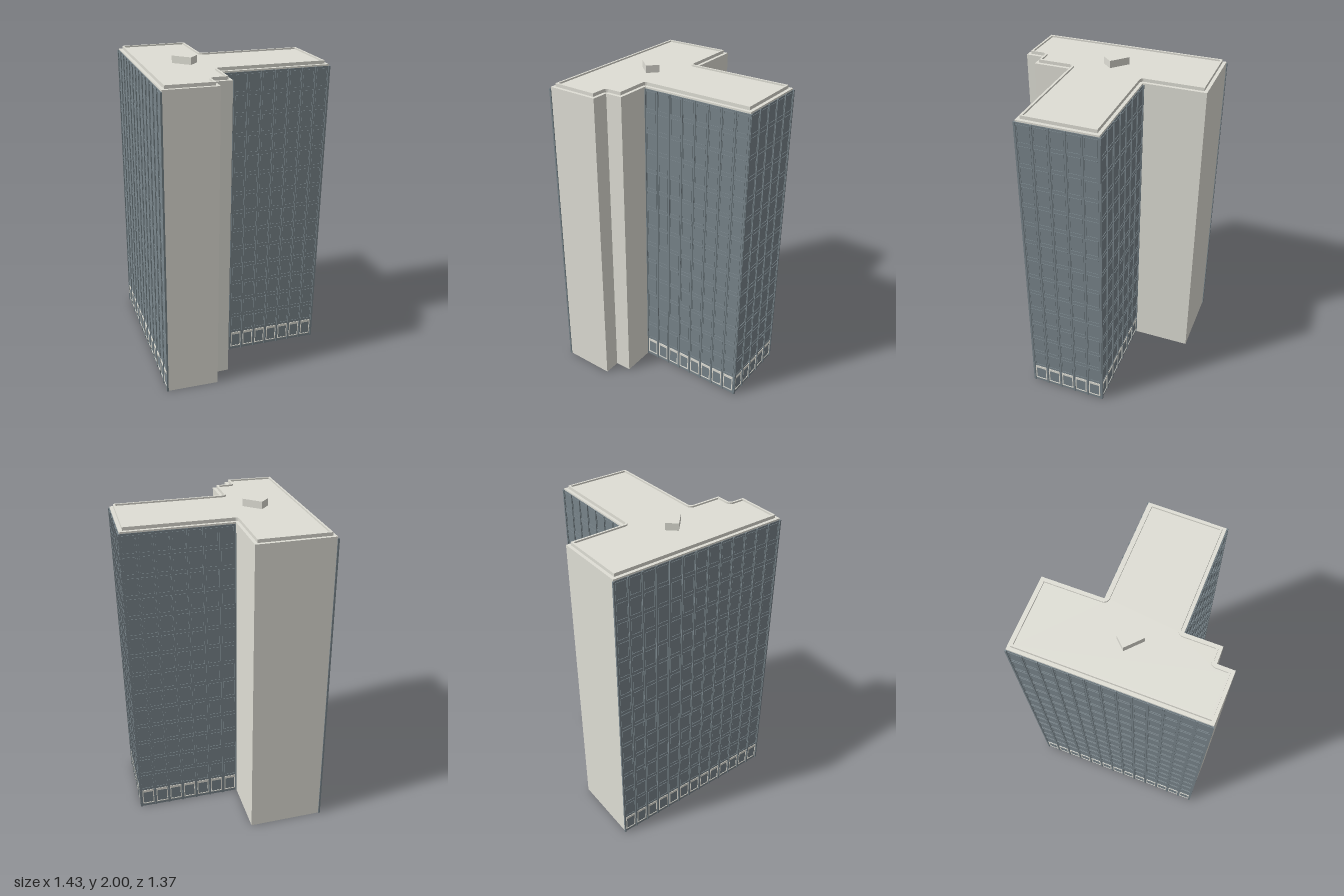
import * as THREE from 'three';
import { mergeGeometries } from 'three/addons/utils/BufferGeometryUtils.js';

const mat = (name, color) => {
  const m = new THREE.MeshStandardMaterial({ color });
  m.name = name;
  return m;
};

// Footprint corners as [x, z], walked so that each wall's outside is on its local +z
const FOOT = [[-0.703, -0.193], [0.09, 0.667], [0.335, 0.45], [0.265, 0.372], [0.342, 0.3],
  [0.192, 0.138], [0.703, -0.33], [0.383, -0.68], [-0.105, -0.235], [-0.36, -0.508]];
const WALL_TOP = 1.935, GROUND = 0.14, FLOORS = 14;

// Footprint moved inward by d; inner corners are rounded
function inset(d) {
  const n = FOOT.length, out = [];
  const inward = (a, b) => {
    const dx = b[0] - a[0], dz = b[1] - a[1], l = Math.hypot(dx, dz);
    return [dz / l, -dx / l];
  };
  FOOT.forEach((p, i) => {
    const n1 = inward(FOOT[(i + n - 1) % n], p), n2 = inward(p, FOOT[(i + 1) % n]);
    const convex = n1[0] * n2[1] - n1[1] * n2[0] < 0;
    if (convex || d === 0) {
      const k = d / (1 + n1[0] * n2[0] + n1[1] * n2[1]);
      out.push([p[0] + (n1[0] + n2[0]) * k, p[1] + (n1[1] + n2[1]) * k]);
    } else {
      for (let s = 0; s <= 4; s++) {
        const x = n1[0] + (n2[0] - n1[0]) * s / 4, z = n1[1] + (n2[1] - n1[1]) * s / 4;
        const l = Math.hypot(x, z);
        out.push([p[0] + x / l * d, p[1] + z / l * d]);
      }
    }
  });
  return out.map(([x, z]) => new THREE.Vector2(x, -z));
}

// Upright prism from y0 to y1 with an optional hole
function prism(points, y0, y1, hole) {
  const shape = new THREE.Shape(points);
  if (hole) shape.holes.push(new THREE.Path(hole));
  const g = new THREE.ExtrudeGeometry(shape, { depth: y1 - y0, bevelEnabled: false });
  return g.rotateX(-Math.PI / 2).translate(0, y0, 0);
}

// Box given by its x, y and z ranges
const block = (x0, x1, y0, y1, z0, z1) =>
  new THREE.BoxGeometry(x1 - x0, y1 - y0, z1 - z0)
    .translate((x0 + x1) / 2, (y0 + y1) / 2, (z0 + z1) / 2);

// Thin rectangular frame; top is the height of its head piece
function frame(x0, x1, y0, y1, t, top) {
  const rect = (a, b, c, d) => [[a, c], [b, c], [b, d], [a, d]].map(p => new THREE.Vector2(...p));
  const s = new THREE.Shape(rect(x0, x1, y0, y1));
  s.holes.push(new THREE.Path(rect(x0 + t, x1 - t, y0 + t, y1 - top)));
  return new THREE.ExtrudeGeometry(s, { depth: 0.003, bevelEnabled: false }).translate(0, 0, 0.003);
}

export function createModel() {
  const concrete = mat('concrete', 0xdfded5);
  const slate = mat('slate glazing', 0x78848a);

  const model = new THREE.Group();
  model.name = 'officeTower';
  const add = (name, geo, material, parent = model) => {
    const m = new THREE.Mesh(geo, material);
    m.name = name;
    parent.add(m);
  };

  // Concrete core, roof edge, parapet and deck
  add('towerBody', prism(inset(0), 0, WALL_TOP), concrete);
  add('roofLedge', prism(inset(0), WALL_TOP, 1.945), concrete);
  add('parapet', prism(inset(0.02), 1.945, 1.965, inset(0.032)), concrete);
  add('roofDeck', prism(inset(0.032), 1.945, 1.955), concrete);
  add('roofHousing', block(-0.15, -0.02, 1.95, 2, 0.015, 0.095), concrete);

  // Glazed facade along the wall that starts at corner i
  function facade(name, i, bays) {
    const [ax, az] = FOOT[i], [bx, bz] = FOOT[(i + 1) % FOOT.length];
    const len = Math.hypot(bx - ax, bz - az), w = len / bays;
    const g = new THREE.Group();
    g.name = name;
    g.position.set(ax, 0, az);
    g.rotation.y = Math.atan2(az - bz, bx - ax);
    model.add(g);

    const ribs = [], frames = [], groundFrames = [];
    const floorH = (WALL_TOP - GROUND) / FLOORS;
    for (let b = 0; b <= bays; b++) {
      const x = b * w;
      ribs.push(block(x - 0.005, x + 0.005, 0, WALL_TOP, -0.002, 0.009));
      if (b === bays) break;
      const x0 = x + 0.009, x1 = x + w - 0.009;
      groundFrames.push(frame(x0, x1, 0.02, 0.133, 0.006, 0.018));
      for (let f = 0; f < FLOORS; f++) {
        const y = GROUND + f * floorH;
        frames.push(frame(x0, x1, y + 0.008, y + floorH - 0.012, 0.004, 0.004));
      }
    }
    add('glazing', block(0, len, 0, WALL_TOP, -0.002, 0.003), slate, g);
    add('ribs', mergeGeometries(ribs), slate, g);
    add('windowFrames', mergeGeometries(frames), slate, g);
    add('groundWindowFrames', mergeGeometries(groundFrames), concrete, g);
  }

  facade('frontFacade', 0, 13);
  facade('wingFrontFacade', 5, 8);
  facade('wingEndFacade', 6, 5);
  facade('wingBackFacade', 7, 7);
  return model;
}
